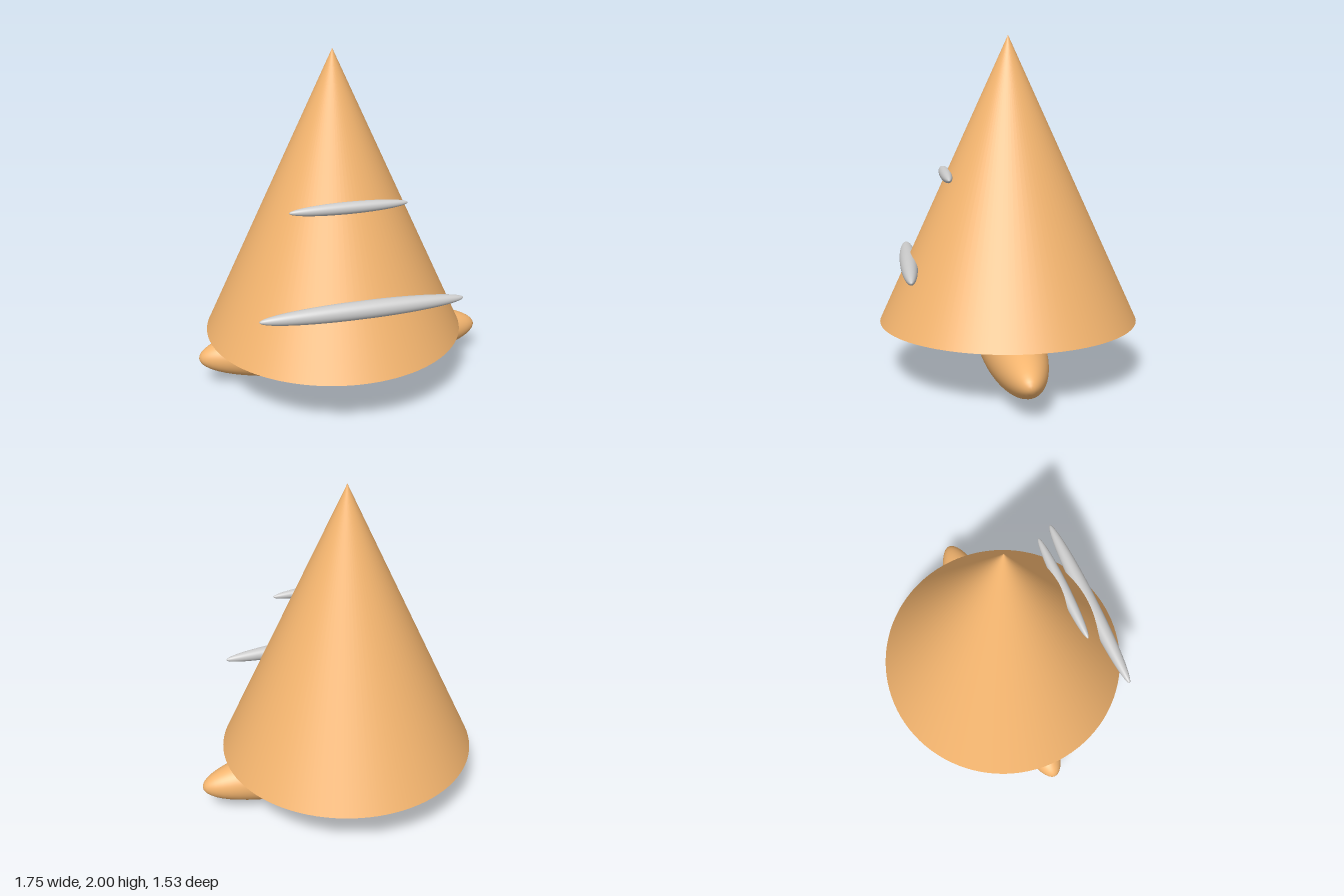
import * as THREE from 'three';

export function createModel() {
  const model = new THREE.Group();
  const tan = new THREE.MeshStandardMaterial({ color: 0xf4b56f });
  const grey = new THREE.MeshStandardMaterial({ color: 0xcccccc });

  // Spindle-shaped ellipsoid with its poles along x
  function spindle(name, material, halfLength, radius, x, y, z) {
    const geometry = new THREE.SphereGeometry(1, 48, 32);
    geometry.rotateZ(-Math.PI / 2);
    geometry.scale(halfLength, radius, radius);
    const mesh = new THREE.Mesh(geometry, material);
    mesh.name = name;
    mesh.position.set(x, y, z);
    model.add(mesh);
  }

  // Main cone with a closed base
  const baseY = 0.325;
  const height = 2 - baseY;
  const cone = new THREE.Mesh(new THREE.ConeGeometry(0.765, height, 96), tan);
  cone.name = 'coneBody';
  cone.position.set(-0.05, baseY + height / 2, 0);
  model.add(cone);

  // Long foot under the cone
  spindle('foot', tan, 0.876, 0.188, 0, 0.19, 0);

  // Two bars set into the front slope
  spindle('upperBar', grey, 0.336, 0.034, -0.056, 1.195, 0.37);
  spindle('lowerBar', grey, 0.578, 0.051, -0.036, 0.683, 0.593);

  return model;
}
